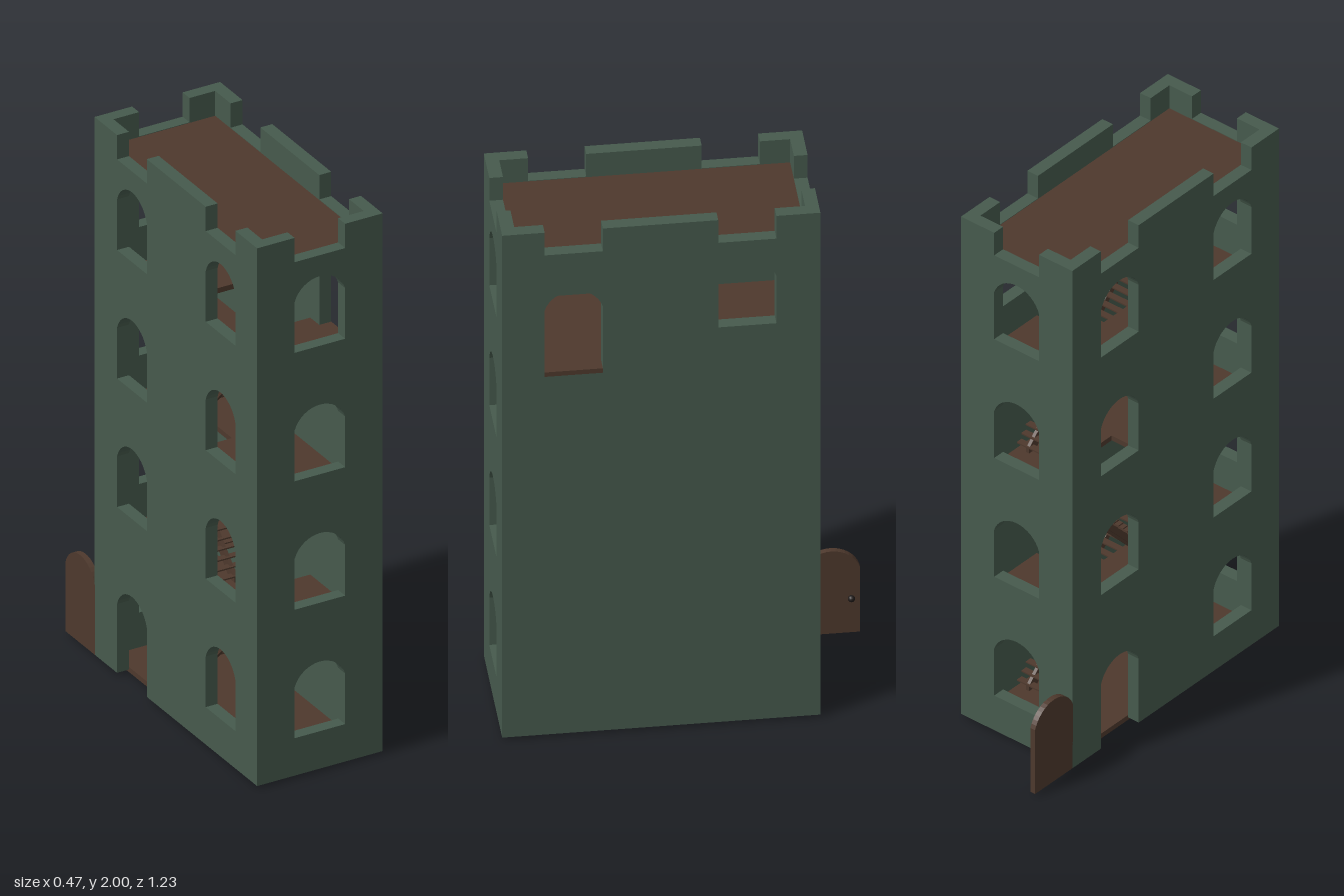
import * as THREE from 'three';

const X = 0.237, ZF = 0.615, ZB = -0.43, T = 0.045;   // outer half width, front, back, wall thickness
const Y0 = 0.0095, NOTCH = 1.91, TOP = 2, HALF = 0.0955; // wall base, crenel floor, merlon top, half opening
const STOREY = 0.4755, SLAB = 0.019;

// Adds an arched outline running up the right jamb, over the arch and down the left jamb
function archTo(path, c, bottom, top) {
  const r = 0.1, a = Math.acos(HALF / r);
  path.lineTo(c + HALF, bottom);
  path.absarc(c, top - r, r, a, Math.PI - a, false);
  path.lineTo(c - HALF, bottom);
  return path;
}

function archHole(c, bottom, top) {
  const p = new THREE.Path();
  p.moveTo(c - HALF, bottom);
  return archTo(p, c, bottom, top);
}

function windowHole(c, storey) {
  const y = 0.148 + storey * STOREY;
  return archHole(c, y, y + 0.258);
}

// Wall outline from a to b with crenels above the given centres and an optional doorway at the base
function wallShape(a, b, crenels, doorAt) {
  const s = new THREE.Shape();
  s.moveTo(b, Y0);
  s.lineTo(b, TOP);
  for (const c of [...crenels].sort((p, q) => q - p)) {
    s.lineTo(c + HALF, TOP);
    s.lineTo(c + HALF, NOTCH);
    s.lineTo(c - HALF, NOTCH);
    s.lineTo(c - HALF, TOP);
  }
  s.lineTo(a, TOP);
  s.lineTo(a, Y0);
  if (doorAt !== undefined) {
    const r = 0.1, k = Math.acos(HALF / r);
    s.lineTo(doorAt - HALF, Y0);
    s.absarc(doorAt, 0.335 - r, r, Math.PI - k, k, true);
    s.lineTo(doorAt + HALF, Y0);
  }
  s.closePath();
  return s;
}

const extrude = (shape, depth) =>
  new THREE.ExtrudeGeometry(shape, { depth, bevelEnabled: false, curveSegments: 8 });

export function createModel() {
  const stone = new THREE.MeshStandardMaterial({ name: 'green stone', color: 0x465a4d });
  const wood = new THREE.MeshStandardMaterial({ name: 'brown wood', color: 0x4e392d });
  const iron = new THREE.MeshStandardMaterial({ name: 'dark iron', color: 0x1f1a18 });

  const model = new THREE.Group();
  model.name = 'tower';
  const add = (name, geo, mat, x = 0, y = 0, z = 0, parent = model) => {
    const m = new THREE.Mesh(geo, mat);
    m.name = name;
    m.position.set(x, y, z);
    parent.add(m);
    return m;
  };
  const box = (name, mat, w, h, d, x, y, z, parent) =>
    add(name, new THREE.BoxGeometry(w, h, d), mat, x, y, z, parent);

  // Front and back walls, one window per storey
  const endWall = wallShape(-X, X, [0]);
  for (let i = 0; i < 4; i++) endWall.holes.push(windowHole(0, i));
  const endGeo = extrude(endWall, T);
  add('frontWall', endGeo, stone, 0, 0, ZF - T);
  add('backWall', endGeo, stone, 0, 0, ZB);

  // Side walls, drawn in z and y and turned to face sideways
  const zFront = 0.38, zBack = -0.19;
  const left = wallShape(ZB + T, ZF - T, [zFront, zBack]);
  left.holes.push(windowHole(zBack, 3), archHole(zFront, 1.428, 1.762));
  const right = wallShape(ZB + T, ZF - T, [zFront, zBack], zBack);
  for (let i = 0; i < 4; i++) {
    right.holes.push(windowHole(zFront, i));
    if (i > 0) right.holes.push(windowHole(zBack, i));
  }
  add('leftWall', extrude(left, T), stone, X).rotation.y = -Math.PI / 2;
  add('rightWall', extrude(right, T), stone, -X + T).rotation.y = -Math.PI / 2;
  box('upperThreshold', wood, T, SLAB, HALF * 2, X - T / 2, 1.436, zFront);

  // Floors; the middle ones are cut away on one side for the stairs
  const xi = X - T, zi0 = ZB + T, zi1 = ZF - T;
  const floorTop = i => i * STOREY + SLAB;
  for (let i = 0; i < 5; i++) {
    const s = new THREE.Shape();
    s.moveTo(-xi, zi0);
    s.lineTo(xi, zi0);
    if (i > 0 && i < 4) {
      const up = i % 2 === 1;
      const [h0, h1] = up ? [-0.1, 0.25] : [-0.3, 0.05];
      if (up) {
        [[xi, h0], [0, h0], [0, h1], [xi, h1]].forEach(p => s.lineTo(...p));
        s.lineTo(xi, zi1);
        s.lineTo(-xi, zi1);
      } else {
        s.lineTo(xi, zi1);
        s.lineTo(-xi, zi1);
        [[-xi, h1], [0, h1], [0, h0], [-xi, h0]].forEach(p => s.lineTo(...p));
      }
    } else {
      s.lineTo(xi, zi1);
      s.lineTo(-xi, zi1);
    }
    s.closePath();
    const y = i === 4 ? NOTCH - 0.002 : floorTop(i);
    add(i === 4 ? 'roofDeck' : 'floor' + (i + 1), extrude(s, SLAB), wood, 0, y).rotation.x = Math.PI / 2;
  }

  // Open stairs, alternating sides and direction
  const STEPS = 20;
  for (let i = 0; i < 3; i++) {
    const side = i % 2 === 0 ? 1 : -1;
    const [za, zb] = side > 0 ? [-0.2, 0.25] : [0.15, -0.3];
    const run = (zb - za) / STEPS, rise = STOREY / STEPS, base = floorTop(i);
    const stairs = new THREE.Group();
    stairs.name = 'stairs' + (i + 1);
    model.add(stairs);
    for (let k = 0; k < STEPS; k++) {
      box('tread', wood, xi, 0.005, Math.abs(run) * 1.1,
        side * xi / 2, base + rise * (k + 1) - 0.0025, za + run * (k + 0.5), stairs);
    }
    // Two sloping stringers below the treads
    const s = new THREE.Shape();
    s.moveTo(za, base);
    s.lineTo(za + run * 1.5, base);
    s.lineTo(zb, base + STOREY - rise * 1.5);
    s.lineTo(zb, base + STOREY - 0.005);
    s.lineTo(za, base + rise - 0.005);
    s.closePath();
    const geo = extrude(s, 0.012);
    for (const x of [0.043, 0.147]) {
      add('stringer', geo, wood, side * x + 0.006, 0, 0, stairs).rotation.y = -Math.PI / 2;
    }
  }

  // Arched door swung open from the rear corner
  const door = new THREE.Group();
  door.name = 'door';
  model.add(door);
  const leaf = new THREE.Shape();
  const zc = -0.5225;
  leaf.moveTo(zc - HALF + 0.003, Y0);
  archTo(leaf, zc, Y0, 0.335);
  add('doorLeaf', extrude(leaf, 0.02), wood, -X + 0.02, 0, 0, door).rotation.y = -Math.PI / 2;
  add('doorKnob', new THREE.SphereGeometry(0.012, 12, 8), iron, -0.206, 0.15, -0.588, door);

  return model;
}
